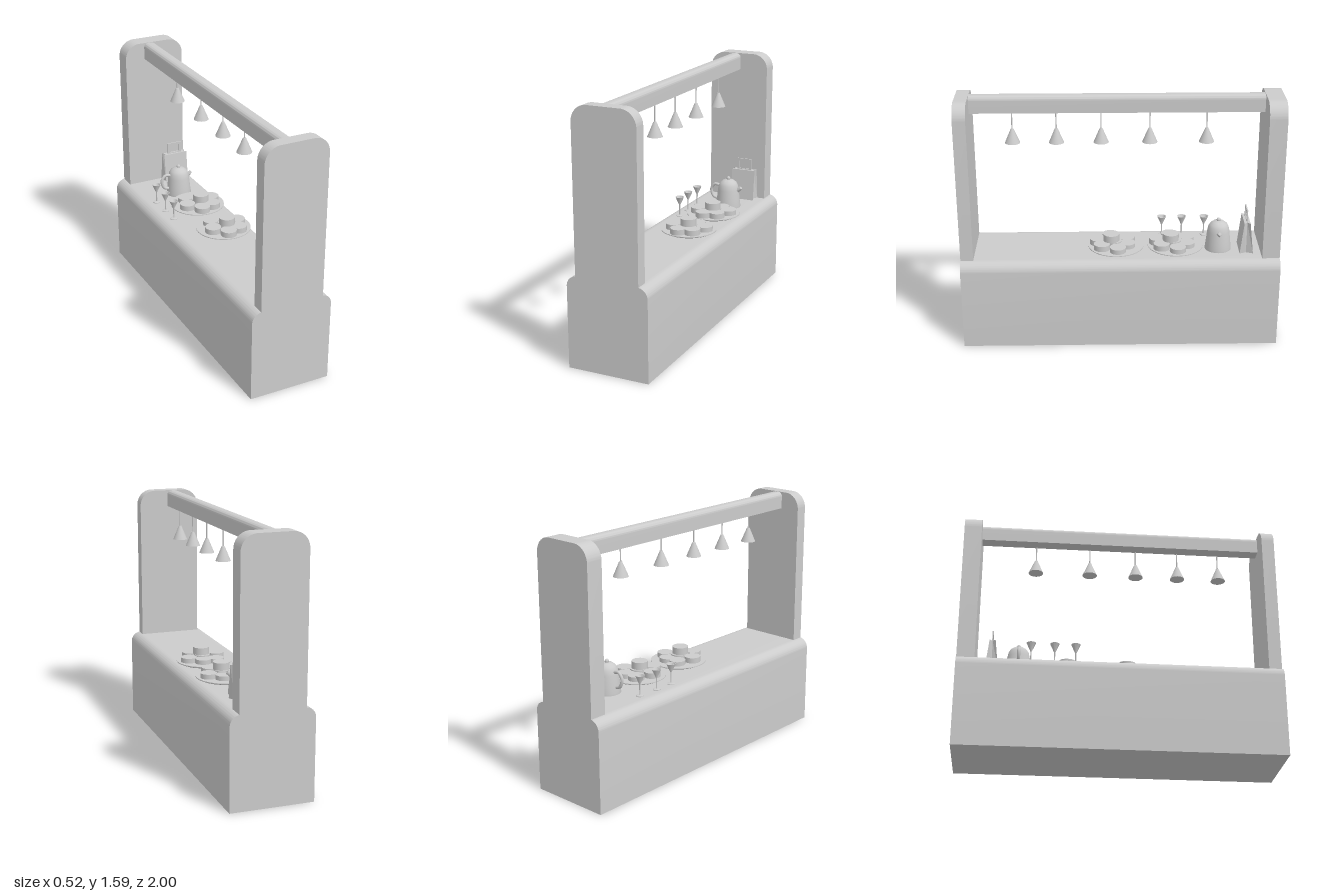
import * as THREE from 'three';
import { toCreasedNormals } from 'three/addons/utils/BufferGeometryUtils.js';

const material = new THREE.MeshStandardMaterial({ color: 0xcccccc, side: THREE.DoubleSide });

function add(parent, name, geometry, x = 0, y = 0, z = 0) {
  const mesh = new THREE.Mesh(geometry, material);
  mesh.name = name;
  mesh.position.set(x, y, z);
  parent.add(mesh);
  return mesh;
}

function group(parent, name, x, y, z) {
  const g = new THREE.Group();
  g.name = name;
  g.position.set(x, y, z);
  parent.add(g);
  return g;
}

// Slab with two rounded top corners, extruded along z
function archSlab(halfWidth, height, radius, depth) {
  const s = new THREE.Shape();
  s.moveTo(-halfWidth, 0);
  s.lineTo(halfWidth, 0);
  s.lineTo(halfWidth, height - radius);
  s.absarc(halfWidth - radius, height - radius, radius, 0, Math.PI / 2);
  s.absarc(-halfWidth + radius, height - radius, radius, Math.PI / 2, Math.PI);
  s.closePath();
  const g = new THREE.ExtrudeGeometry(s, { depth, bevelEnabled: false, curveSegments: 12 });
  return toCreasedNormals(g, 0.6);
}

function lathe(points, segments = 32) {
  const g = new THREE.LatheGeometry(points.map(([r, y]) => new THREE.Vector2(r, y)), segments);
  return toCreasedNormals(g, 0.6);
}

// Cakes as [x, z, bottom, height] relative to the plate
const cakes = [
  [0.03, -0.07, 0.015, 0.028], [0.105, -0.01, 0.015, 0.03], [0.065, 0.09, 0.015, 0.035],
  [-0.02, 0.115, 0.015, 0.035], [-0.09, 0.035, 0.015, 0.035], [-0.055, -0.07, 0.015, 0.028],
  [0.01, 0.015, 0.015, 0.035], [0.01, 0.03, 0.05, 0.045],
];

function addPlate(parent, z) {
  const g = group(parent, 'cakePlate', 0.055, 0.6, z);
  add(g, 'plate', lathe([[0, 0], [0.155, 0], [0.176, 0.01], [0.176, 0.015], [0, 0.015]], 48));
  for (const [x, dz, y, h] of cakes) {
    add(g, 'cake', new THREE.CylinderGeometry(0.051, 0.051, h, 28), x, y + h / 2, dz);
  }
}

function addTeapot(parent) {
  const g = group(parent, 'teapot', 0.045, 0.58, -0.625);
  add(g, 'teapotBody', lathe([[0, 0], [0.083, 0], [0.083, 0.012], [0.078, 0.05], [0.071, 0.12],
    [0.064, 0.152], [0.054, 0.17], [0.035, 0.185], [0, 0.192]]));
  add(g, 'lidKnob', new THREE.SphereGeometry(0.013, 16, 12), 0, 0.197, 0);
  const spout = add(g, 'spout', new THREE.CylinderGeometry(0.013, 0.02, 0.05, 4), 0.072, 0.125, 0);
  spout.rotation.z = -1.0;
  const path = new THREE.CatmullRomCurve3([[-0.06, 0.14], [-0.1, 0.145], [-0.125, 0.11],
    [-0.11, 0.06], [-0.07, 0.045]].map(([x, y]) => new THREE.Vector3(x, y, 0)));
  add(g, 'teapotHandle', new THREE.TubeGeometry(path, 24, 0.01, 10));
}

function addBag(parent) {
  const g = group(parent, 'paperBag', 0.092, 0.6, -0.792);
  // Folded-in sides, narrowing towards the top
  const s = new THREE.Shape([[-0.083, -0.042], [0.083, -0.042], [0.065, 0], [0.083, 0.042],
    [-0.083, 0.042], [-0.065, 0]].map(([x, y]) => new THREE.Vector2(x, y)));
  const body = new THREE.ExtrudeGeometry(s, { depth: 0.205, bevelEnabled: false });
  body.rotateX(-Math.PI / 2);
  const p = body.attributes.position;
  for (let i = 0; i < p.count; i++) p.setZ(i, p.getZ(i) * (1 - 0.55 * p.getY(i) / 0.205));
  body.computeVertexNormals();
  add(g, 'bagBody', body);
  // Handle frame
  const f = new THREE.Shape([[-0.05, 0], [0.05, 0], [0.05, 0.08], [-0.05, 0.08]]
    .map(([x, y]) => new THREE.Vector2(x, y)));
  f.holes.push(new THREE.Path([[-0.035, 0.01], [-0.035, 0.063], [0.035, 0.063], [0.035, 0.01]]
    .map(([x, y]) => new THREE.Vector2(x, y))));
  add(g, 'bagHandle', new THREE.ExtrudeGeometry(f, { depth: 0.008, bevelEnabled: false }), 0, 0.2, -0.004);
}

export function createModel() {
  const model = new THREE.Group();
  model.name = 'barCounter';

  // Counter, end posts and overhead beam
  add(model, 'counter', archSlab(0.262, 0.58, 0.065, 2), 0, 0, -1);
  add(model, 'frontPost', archSlab(0.204, 1.02, 0.1, 0.08), 0, 0.57, 0.92);
  add(model, 'backPost', archSlab(0.204, 1.02, 0.1, 0.11), 0, 0.57, -1);
  add(model, 'beam', archSlab(0.04, 0.108, 0.028, 1.82), -0.03, 1.48, -0.895);

  // Hanging lamps
  for (const z of [0.66, 0.39, 0.115, -0.185, -0.535]) {
    const lamp = group(model, 'lamp', 0.004, 1.29, z);
    add(lamp, 'lampShade', new THREE.CylinderGeometry(0.009, 0.047, 0.09, 28), 0, 0.045, 0);
    add(lamp, 'lampRod', new THREE.CylinderGeometry(0.004, 0.004, 0.11, 10), 0, 0.14, 0);
  }

  addPlate(model, 0.025);
  addPlate(model, -0.352);

  // Stemmed glasses with open bowls
  for (const z of [-0.55, -0.405, -0.275]) {
    add(model, 'glass', lathe([[0, 0], [0.023, 0], [0.023, 0.004], [0.004, 0.009], [0.004, 0.075],
      [0.029, 0.132], [0.025, 0.132], [0, 0.084]], 24), -0.155, 0.582, z);
  }

  addTeapot(model);
  addBag(model);
  return model;
}
